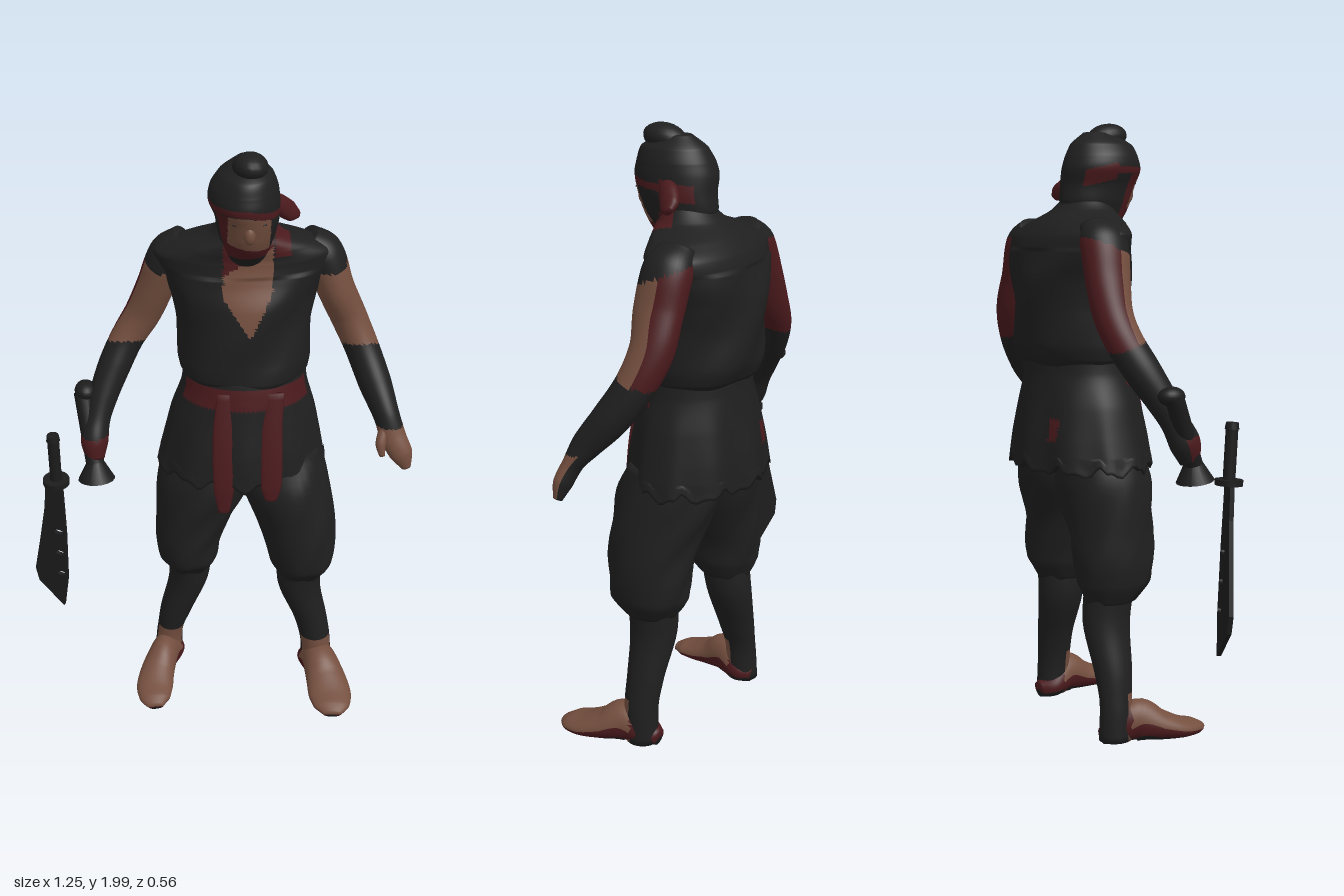
import * as THREE from 'three';

const paint = (name, color) => {
  const m = new THREE.MeshStandardMaterial({ color });
  m.name = name;
  return m;
};
const cloth = paint('black cloth', 0x1f1f1f);
const skin = paint('skin', 0x744f3f);
const red = paint('dark red cloth', 0x4b1a1d);
const steel = paint('dark steel', 0x1c1c1c);
const DARK = 0, SKIN = 1, RED = 2;
const palette = [cloth, skin, red];

// Smooth closed skin through sections [x, y, z, radius across, radius deep].
// flat keeps the rings level; color(point, depth) picks a palette slot per face;
// shape(point, angle) moves points by a rule.
function loft(name, sections, { flat = false, sides = 36, steps = 6, color = () => DARK, shape } = {}) {
  const path = new THREE.CatmullRomCurve3(sections.map(s => new THREE.Vector3(s[0], s[1], s[2])));
  const radii = new THREE.CatmullRomCurve3(sections.map(s => new THREE.Vector3(s[3], s[4], 0)));
  const rows = (sections.length - 1) * steps;
  const points = [];
  for (let i = 0; i <= rows; i++) {
    const c = path.getPoint(i / rows), r = radii.getPoint(i / rows);
    const t = flat ? new THREE.Vector3(0, -1, 0) : path.getTangent(i / rows);
    const u = new THREE.Vector3(1, 0, 0).addScaledVector(t, -t.x).normalize();
    const v = new THREE.Vector3().crossVectors(t, u);
    for (let j = 0; j < sides; j++) {
      const a = j / sides * Math.PI * 2;
      const p = c.clone().addScaledVector(u, r.x * Math.cos(a)).addScaledVector(v, r.y * Math.sin(a));
      if (shape) shape(p, a);
      points.push(p);
    }
  }
  const first = points.length;
  points.push(path.getPoint(0), path.getPoint(1));
  const lists = [[], [], []];
  const face = (a, b, c, depth) => {
    const mid = points[a].clone().add(points[b]).add(points[c]).divideScalar(3);
    lists[color(mid, depth)].push(a, b, c);
  };
  for (let j = 0; j < sides; j++) {
    const k = (j + 1) % sides, depth = Math.sin((j + 0.5) / sides * Math.PI * 2);
    for (let i = 0; i < rows; i++) {
      const a = i * sides, b = a + sides;
      face(a + j, a + k, b + j, depth);
      face(a + k, b + k, b + j, depth);
    }
    face(first, k, j, depth);
    face(first + 1, rows * sides + j, rows * sides + k, depth);
  }
  const geo = new THREE.BufferGeometry().setFromPoints(points);
  geo.setIndex(lists.flat());
  let start = 0;
  lists.forEach((l, m) => {
    if (l.length) geo.addGroup(start, l.length, m);
    start += l.length;
  });
  geo.computeVertexNormals();
  const mesh = new THREE.Mesh(geo, palette);
  mesh.name = name;
  return mesh;
}

function ball(name, mat, pos, scale, tilt = 0) {
  const m = new THREE.Mesh(new THREE.SphereGeometry(1, 20, 14), mat);
  m.name = name;
  m.position.set(...pos);
  m.scale.set(...scale);
  m.rotation.x = tilt;
  return m;
}

function rod(name, mat, from, to, r0, r1) {
  const a = new THREE.Vector3(...from), b = new THREE.Vector3(...to);
  const m = new THREE.Mesh(new THREE.CylinderGeometry(r1, r0, a.distanceTo(b), 18), mat);
  m.name = name;
  m.position.copy(a).add(b).multiplyScalar(0.5);
  m.quaternion.setFromUnitVectors(new THREE.Vector3(0, 1, 0), b.sub(a).normalize());
  return m;
}

const mix = THREE.MathUtils.lerp;

function createModel() {
  const model = new THREE.Group();
  model.name = 'swordsman';

  // Vest with an open neck showing the chest
  model.add(loft('vest', [
    [.09, 1.77, -.02, .07, .07], [.09, 1.72, -.04, .115, .1], [.085, 1.68, -.07, .22, .125],
    [.085, 1.64, -.09, .283, .14], [.085, 1.57, -.095, .262, .158], [.085, 1.5, -.09, .23, .175],
    [.085, 1.4, -.085, .213, .178], [.087, 1.3, -.08, .214, .178], [.087, 1.25, -.07, .206, .17],
    [.087, 1.23, -.065, .19, .155]], {
    flat: true, sides: 128, steps: 12,
    color: (p, d) => {
      if (d > 0 && p.x > .17 && p.x < .22 && p.y > 1.665) return RED;
      if (d < .1 || p.y < 1.42) return DARK;
      const left = mix(.09, .012, Math.min(1, (p.y - 1.42) / .12));
      const right = mix(.1, .165, Math.min(1, (p.y - 1.42) / .14));
      if (p.x < left || p.x > right) return DARK;
      return p.y - p.x * .6 > 1.6 ? RED : SKIN;
    },
    shape: (p, a) => {
      if (p.y < 1.6) p.z += .006 * Math.sin(a * 5 + p.y * 22);
    } }));

  // Flared skirt with a ragged hem and the sash across its front
  model.add(loft('skirt', [
    [.087, 1.27, -.065, .195, .155], [.088, 1.2, -.06, .203, .166], [.085, 1.1, -.06, .235, .182],
    [.083, 1, -.06, .258, .198], [.08, .9, -.06, .28, .206]], {
    flat: true, sides: 96, steps: 10,
    color: (p, d) => {
      if (d > .35) return p.y > 1.165 && p.y < 1.238 ? RED : DARK;
      return d < -.6 && Math.abs(p.x + .03) < .02 && Math.abs(p.y - 1.03) < .035 ? RED : DARK;
    },
    shape: (p, a) => {
      const low = Math.max(0, 1.2 - p.y);
      p.z += .03 * low * Math.sin(a * 9);
      if (p.y < .93) p.y += .012 * Math.sin(a * 11) + .008 * Math.sin(a * 23);
    } }));

  // Hanging sash ends
  for (const [x, end, bottom] of [[.012, .012, .81], [.165, .165, .85]]) {
    model.add(loft('sashEnd', [
      [x + .01, 1.22, .088, .03, .008], [x, 1.1, .113, .034, .008], [x, 1, .13, .036, .008],
      [end, .9, .142, .033, .008], [end, bottom, .145, .018, .005]], { flat: true, sides: 12, color: () => RED }));
  }

  // Hood, face and headband
  model.add(loft('head', [
    [.085, 1.968, .015, .035, .05], [.08, 1.93, .026, .082, .108], [.075, 1.89, .024, .102, .126],
    [.075, 1.85, .022, .107, .136], [.085, 1.8, .015, .098, .13], [.085, 1.75, .005, .09, .125],
    [.085, 1.7, 0, .076, .104], [.085, 1.64, -.03, .07, .08]], {
    flat: true, sides: 96, steps: 12,
    color: (p, d) => {
      const band = 1.848 - .25 * Math.max(0, p.x - .08) - .25 * Math.max(0, .03 - p.z);
      const width = p.z < .02 ? .026 : .011;
      if (d > -.75 && Math.abs(p.y - band) < width) return RED;
      if (p.x > .13 && p.z < .03 && d > -.8 && p.y > 1.69 && p.y < 1.745) return RED;
      if (d > .45 && p.y < band - .012 && p.y > 1.68) {
        if (p.x < .022 || p.y < 1.725 - .2 * (p.x - .06)) return RED;
        return p.x < .15 ? SKIN : DARK;
      }
      return DARK;
    } }));
  model.add(ball('topknot', cloth, [.09, 1.957, .055], [.053, .042, .07], -.15));
  model.add(ball('nose', skin, [.085, 1.775, .132], [.018, .03, .02]));
  for (const s of [-1, 1]) model.add(ball('eye', cloth, [.085 + s * .036, 1.808, .13], [.015, .004, .007]));
  model.add(loft('headbandKnot', [
    [.16, 1.835, .01, .018, .025], [.19, 1.805, -.02, .026, .035], [.22, 1.78, -.04, .022, .035],
    [.245, 1.765, -.05, .01, .015]], { sides: 16, color: () => RED }));

  // Arms: vest cap, bare upper arm stained at the back, wrapped forearm, hand
  const armColor = (elbow, wrist, hand, stain) => (p, d) => {
    if (p.y > 1.605 - .03 * d) return DARK;
    if (p.y > elbow + .02 * d) return d < stain ? RED : SKIN;
    return p.y < wrist && d > -.4 ? hand : DARK;
  };
  model.add(loft('leftArm', [
    [.28, 1.67, -.1, .04, .06], [.332, 1.61, -.1, .066, .08], [.375, 1.5, -.095, .06, .08],
    [.42, 1.4, -.1, .058, .07], [.465, 1.3, -.07, .055, .062], [.505, 1.2, -.01, .053, .058],
    [.54, 1.11, .06, .042, .045], [.56, 1.05, .095, .042, .03], [.585, 1, .112, .038, .028],
    [.605, .95, .12, .015, .014]], { steps: 9, color: armColor(1.31, 1.09, SKIN, -.15) }));
  model.add(loft('leftThumb', [
    [.53, 1.08, .09, .018, .018], [.517, 1.04, .115, .017, .016], [.522, 1.0, .128, .009, .009]],
  { sides: 12, color: () => SKIN }));
  model.add(loft('rightArm', [
    [-.1, 1.67, -.11, .04, .06], [-.148, 1.61, -.115, .064, .08], [-.192, 1.5, -.13, .06, .074],
    [-.235, 1.4, -.14, .058, .064], [-.285, 1.32, -.132, .054, .06], [-.328, 1.24, -.1, .053, .058],
    [-.368, 1.15, -.055, .047, .05], [-.39, 1.08, -.02, .041, .045], [-.402, 1.02, .008, .045, .05],
    [-.402, .96, .03, .03, .035]], { steps: 9, color: armColor(1.31, 1.04, RED, .2) }));

  // Scabbard piece held in the right fist
  model.add(rod('scabbardGrip', steel, [-.4, .93, .05], [-.435, 1.16, -.055], .03, .03));
  model.add(ball('scabbardCap', steel, [-.427, 1.165, -.06], [.035, .03, .045]));
  model.add(rod('scabbardMouth', steel, [-.4, .895, .052], [-.402, .96, .042], .06, .025));

  // Baggy trousers, gathered below the knee
  const folds = (p, a) => { p.z += .005 * Math.sin(a * 6 + p.y * 30); };
  const legs = [
    ['rightTrouserLeg', [[-.03, .97, -.06, .13, .14], [-.04, .85, -.05, .16, .155], [-.078, .7, -.045, .13, .14],
      [-.1, .6, -.045, .112, .135], [-.1, .53, -.045, .103, .125], [-.097, .47, -.06, .075, .085]]],
    ['leftTrouserLeg', [[.21, .97, -.05, .13, .15], [.22, .85, -.025, .15, .168], [.262, .7, 0, .135, .145],
      [.28, .6, .005, .122, .138], [.286, .53, .005, .11, .13], [.285, .47, 0, .08, .088]]]];
  for (const [name, rows] of legs) model.add(loft(name, rows, { flat: true, sides: 40, shape: folds }));

  // Wrapped shins with bare ankles
  const shinColor = (p, d) => p.y < .185 && d > .3 ? SKIN : DARK;
  model.add(loft('leftShin', [[.285, .52, -.005, .08, .085], [.285, .4, -.01, .074, .078],
    [.33, .25, -.005, .058, .062], [.35, .15, 0, .053, .057], [.355, .03, -.005, .052, .055]],
  { flat: true, color: shinColor }));
  model.add(loft('rightShin', [[-.095, .52, -.06, .075, .085], [-.1, .4, -.075, .069, .08],
    [-.146, .25, -.08, .056, .064], [-.17, .15, -.085, .046, .055], [-.175, .03, -.09, .05, .055]],
  { flat: true, color: shinColor }));

  // Bare feet with dark soles, the right one set back and turned out
  const footRows = [[.345, .045, -.065, .025, .028], [.345, .055, -.02, .055, .043], [.362, .085, .05, .06, .07],
    [.378, .064, .12, .07, .05], [.386, .047, .19, .075, .034], [.386, .04, .245, .062, .025],
    [.384, .035, .28, .03, .012]];
  const feet = [['left', x => x, 0, 1], ['right', x => -.165 - (x - .345) * 1.6, -.07, .85]];
  for (const [side, toX, back, width] of feet) {
    model.add(loft(side + 'Foot', footRows.map(([x, y, z, a, b]) => [toX(x), y, z + back, a * width, b]), {
      color: (p, d) => {
        if (p.z - back < .01) return d > -.3 ? RED : DARK;
        return d < -.65 ? DARK : d < 0 ? RED : SKIN;
      } }));
  }

  // Loose sword with a pierced broad blade
  const sword = new THREE.Group();
  sword.name = 'sword';
  sword.position.set(-.53, 0, .025);
  sword.rotation.set(.06, -.37, 0);
  const outline = new THREE.Shape([[-.037, .91], [.02, .91], [.022, .7], [.016, .5], [-.003, .375],
    [-.09, .465], [-.1, .52], [-.072, .66], [-.046, .8]].map(p => new THREE.Vector2(...p)));
  for (const y of [.7, .61, .52]) {
    outline.holes.push(new THREE.Path().absellipse(-.003, y, .016, .009, 0, Math.PI * 2));
  }
  const bladeGeo = new THREE.ExtrudeGeometry(outline, { depth: .014, bevelEnabled: false });
  bladeGeo.translate(0, 0, -.007);
  const blade = new THREE.Mesh(bladeGeo, steel);
  blade.name = 'blade';
  sword.add(blade,
    rod('guard', steel, [0, .9, 0], [0, .918, 0], .043, .043),
    rod('handle', steel, [0, .915, 0], [0, 1.075, 0], .019, .019),
    rod('pommel', steel, [0, 1.07, 0], [0, 1.09, 0], .022, .019));
  model.add(sword);

  return model;
}

export { createModel };
